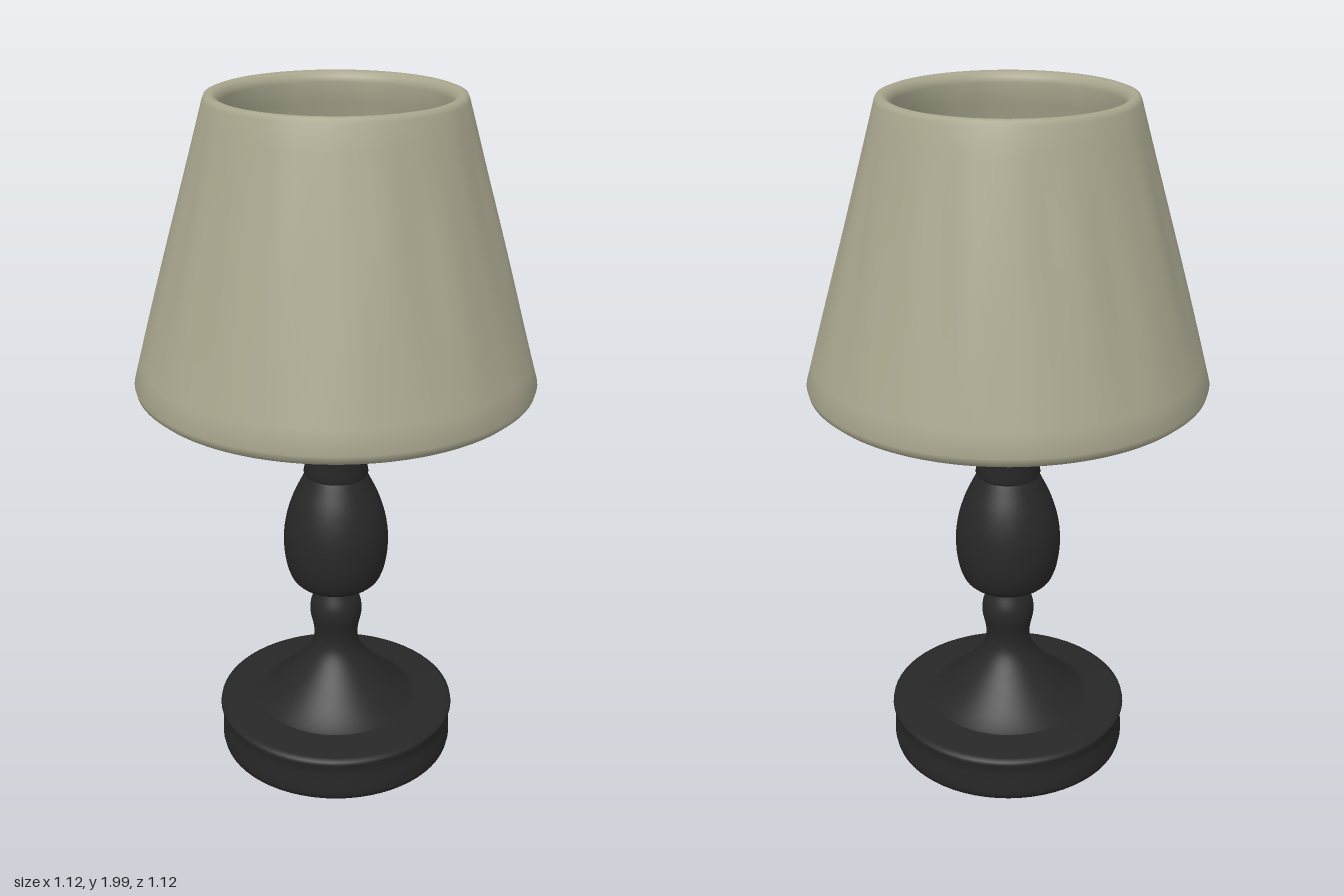
import * as THREE from 'three';
import { toCreasedNormals } from 'three/addons/utils/BufferGeometryUtils.js';

const fabric = new THREE.MeshStandardMaterial({ color: 0xa9a68e });
fabric.name = 'beige fabric';
const black = new THREE.MeshStandardMaterial({ color: 0x272728 });
black.name = 'black wood';

const points = (list) => list.map(([r, y]) => new THREE.Vector2(r, y));

function addLathe(group, name, profile, material, segments = 64) {
  const mesh = new THREE.Mesh(new THREE.LatheGeometry(points(profile), segments), material);
  mesh.name = name;
  group.add(mesh);
  return mesh;
}

// Smooth a turned profile through its control points
function turned(list, count) {
  return new THREE.SplineCurve(points(list)).getPoints(count).map((p) => [p.x, p.y]);
}

export function createModel() {
  const lamp = new THREE.Group();
  lamp.name = 'tableLamp';

  // Round foot with a shallow groove and slightly hollow underside
  addLathe(lamp, 'base', [
    [0, 0.02], [0.24, 0.02], [0.3, 0.01], [0.335, 0.011], [0.348, 0.018], [0.352, 0.035],
    [0.351, 0.07], [0.347, 0.1], [0.35, 0.125], [0.356, 0.14], [0.354, 0.15], [0.34, 0.155],
    [0.25, 0.161], [0.22, 0.168],
  ], black);

  // Flared column and lower bead
  addLathe(lamp, 'lowerColumn', turned([
    [0.255, 0.155], [0.225, 0.172], [0.185, 0.204], [0.125, 0.265], [0.082, 0.32], [0.067, 0.36],
    [0.067, 0.4], [0.077, 0.45], [0.074, 0.49], [0.056, 0.535], [0.06, 0.555], [0.08, 0.565],
  ], 44), black);

  // Vase-shaped body
  addLathe(lamp, 'vaseBody', [[0.05, 0.558], [0.1, 0.558], ...turned([
    [0.115, 0.561], [0.132, 0.58], [0.147, 0.625], [0.154, 0.69], [0.148, 0.76],
    [0.128, 0.83], [0.1, 0.89], [0.084, 0.92],
  ], 28)], black);

  // Lamp holder: ringed collar, shoulder and stem
  addLathe(lamp, 'lampHolder', [
    [0.07, 0.9], [0.088, 0.908], [0.094, 0.918], [0.091, 0.935], [0.092, 0.99], [0.095, 1.0],
    [0.09, 1.012], [0.092, 1.03], [0.097, 1.045], [0.097, 1.075], [0.091, 1.09], [0.075, 1.11],
    [0.06, 1.135], [0.054, 1.16], [0.048, 1.19], [0.044, 1.25], [0.043, 1.37],
  ], black, 40);

  // Small switch on the holder
  const knob = new THREE.Mesh(new THREE.SphereGeometry(0.032, 20, 14), black);
  knob.name = 'switchKnob';
  knob.position.set(-0.072, 1.07, 0.083);
  knob.scale.y = 0.75;
  lamp.add(knob);

  // Pale tip of the stem
  addLathe(lamp, 'candleTip', [
    [0.043, 1.37], [0.042, 1.47], [0.036, 1.495], [0.02, 1.505], [0, 1.507],
  ], fabric, 24);

  // Shade: a thick-walled cone with soft rims, listed as a closed loop
  const wall = [];
  const outer = (t) => [0.561 - 0.214 * t, 1.215 + 0.77 * t];
  const inner = (t) => [0.475 - 0.17 * t, 1.23 + 0.74 * t];
  for (let i = 0; i <= 12; i++) wall.push(outer(i / 12));
  wall.push([0.342, 1.996], [0.332, 2], [0.318, 1.996], [0.308, 1.985]);
  for (let i = 12; i >= 0; i--) wall.push(inner(i / 12));
  wall.push([0.475, 1.2], [0.49, 1.184], [0.515, 1.18], [0.542, 1.186], [0.557, 1.199], [0.561, 1.215]);

  const shade = addLathe(lamp, 'lampshade', wall, fabric, 128);
  const pos = shade.geometry.attributes.position;
  // Faint vertical folds in the cloth, fading out at the rims
  for (let i = 0; i < pos.count; i++) {
    const x = pos.getX(i), y = pos.getY(i), z = pos.getZ(i);
    const a = Math.atan2(z, x);
    const fade = Math.sin(Math.PI * THREE.MathUtils.clamp((y - 1.2) / 0.8, 0, 1));
    const fold = Math.sin(11 * a + 2 * y) + 0.7 * Math.sin(19 * a - 3 * y) + 0.5 * Math.sin(7 * a + 1);
    const k = 1 + 0.0025 * fade * fold / Math.hypot(x, z);
    pos.setXYZ(i, x * k, y, z * k);
  }
  shade.geometry = toCreasedNormals(shade.geometry, 1.0);

  return lamp;
}
